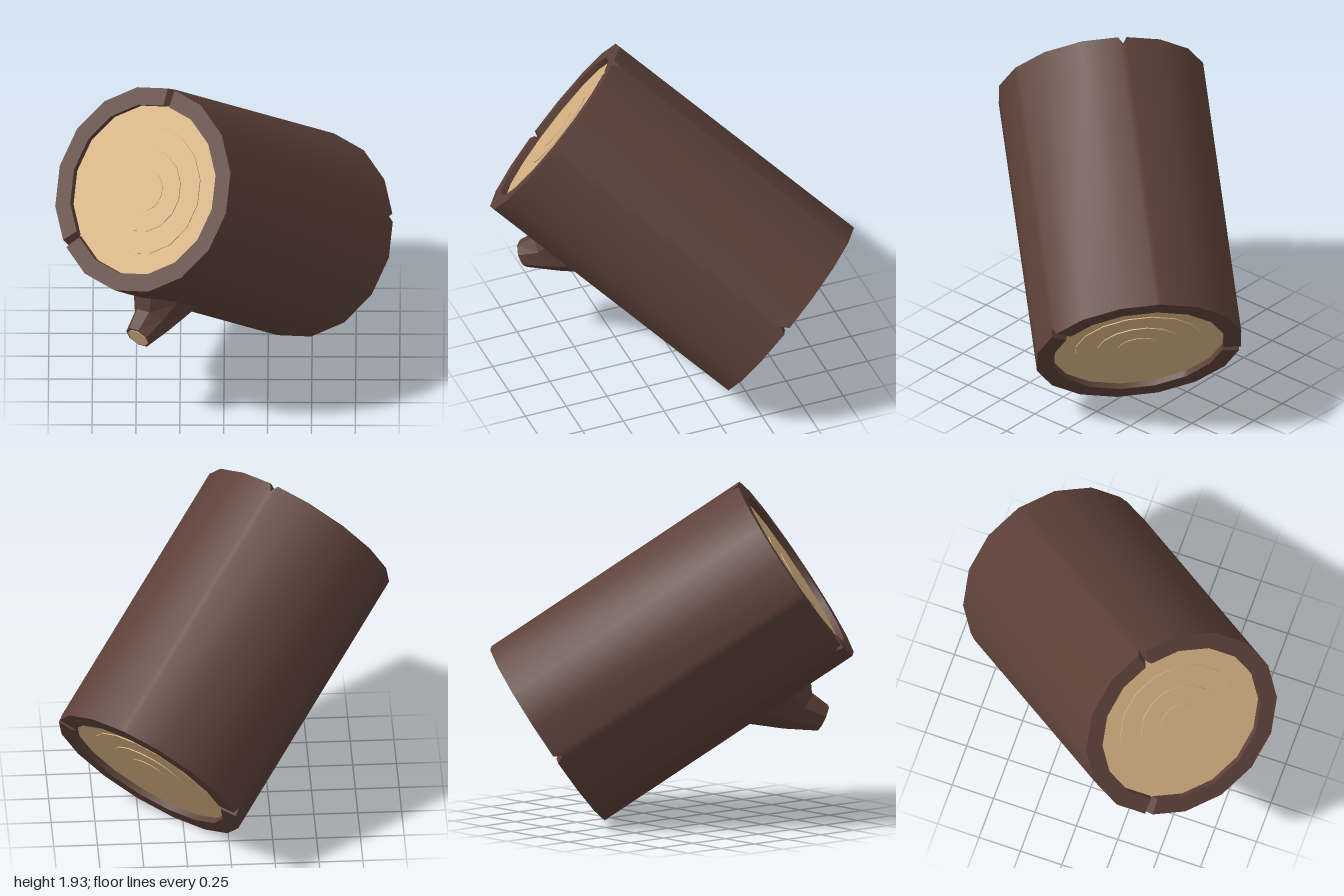
import * as THREE from 'three';
import { toCreasedNormals } from 'three/addons/utils/BufferGeometryUtils.js';

const bark = new THREE.MeshStandardMaterial({ color: 0x5d4139 });
bark.name = 'bark brown';
const wood = new THREE.MeshStandardMaterial({ color: 0xd7b282 });
wood.name = 'cut wood';

const SIDES = 16, STEP = (Math.PI * 2) / SIDES;
const R = 0.597, R_IN = 0.495, HALF = 0.85;

// Skin closed loops of points into a surface
function skin(rows, crease) {
  const pos = [];
  const n = rows[0].length;
  for (let j = 0; j + 1 < rows.length; j++) {
    for (let i = 0; i < n; i++) {
      const k = (i + 1) % n;
      const a = rows[j][i], b = rows[j + 1][i], c = rows[j][k], d = rows[j + 1][k];
      pos.push(...a, ...b, ...c, ...c, ...b, ...d);
    }
  }
  const g = new THREE.BufferGeometry();
  g.setAttribute('position', new THREE.Float32BufferAttribute(pos, 3));
  g.computeVertexNormals();
  return crease ? toCreasedNormals(g, crease) : g;
}

function add(parent, name, geometry, material) {
  const mesh = new THREE.Mesh(geometry, material);
  mesh.name = name;
  parent.add(mesh);
  return mesh;
}

// Hollow bark tube with V-shaped cracks in the rim at both ends
function barkGeometry() {
  const cracks = { '-1': [4, 11], '1': [2, 8] };
  const angles = [];
  for (let k = 0; k < SIDES; k++) {
    const cracked = cracks[-1].includes(k) || cracks[1].includes(k);
    if (cracked) angles.push([k * STEP - 0.042, -1]);
    angles.push([k * STEP, k]);
    if (cracked) angles.push([k * STEP + 0.042, -1]);
  }
  const loop = (r, end, y) => angles.map(([a, k]) => {
    const off = a - Math.floor(a / STEP) * STEP - STEP / 2;
    const rad = k >= 0 ? r : (r * Math.cos(STEP / 2)) / Math.cos(off);
    const dip = y === HALF && cracks[end].includes(k) ? 0.045 : 0;
    return [rad * Math.cos(a), end * (y - dip), rad * Math.sin(a)];
  });
  return skin([
    loop(R_IN, -1, HALF - 0.08), loop(R_IN, -1, HALF), loop(R, -1, HALF),
    loop(R, 1, HALF), loop(R_IN, 1, HALF), loop(R_IN, 1, HALF - 0.08),
  ], 0.6);
}

// Wood core with shallow stepped growth rings on both cut faces
function coreGeometry() {
  const y = HALF - 0.035;
  const half = [[0.5, y], [0.37, y], [0.37, y + 0.006], [0.24, y + 0.006],
    [0.24, y + 0.012], [0.12, y + 0.012], [0.12, y + 0.016], [0, y + 0.016]];
  const profile = [...half.map(([r, h]) => [r, -h]).reverse(), ...half];
  const g = new THREE.LatheGeometry(profile.map(([r, h]) => new THREE.Vector2(r, h)), SIDES);
  return toCreasedNormals(g, 0.6);
}

// Flared branch stub: loops tilt from the log surface to the cut tip
const TIP = { x: 0.82, y: 0.49, tilt: Math.atan(0.6) };
function branchGeometry() {
  const n = 8;
  const loop = (x, y, tilt, a, b) => Array.from({ length: n }, (_, i) => {
    const t = ((i + 0.5) / n) * Math.PI * 2;
    const u = a * Math.cos(t);
    return [x - u * Math.sin(tilt), y + u * Math.cos(tilt), -b * Math.sin(t)];
  });
  return skin([
    loop(0.53, 0.34, 0, 0.27, 0.2),
    loop(0.59, 0.35, 0.05, 0.23, 0.16),
    loop(0.70, 0.395, 0.28, 0.135, 0.11),
    loop(TIP.x, TIP.y, TIP.tilt, 0.08, 0.08),
    loop(TIP.x, TIP.y, TIP.tilt, 0, 0),
  ]);
}

export function createModel() {
  const model = new THREE.Group();
  model.name = 'log';

  // Tilted log frame: y runs along the log, x points at the branch
  const axis = new THREE.Vector3(-0.925, 0.95, 1.07).normalize();
  const out = new THREE.Vector3(-0.27, -0.824, 0.5);
  out.addScaledVector(axis, -out.dot(axis)).normalize();
  const side = new THREE.Vector3().crossVectors(out, axis);
  const body = new THREE.Group();
  body.name = 'tiltedLog';
  body.quaternion.setFromRotationMatrix(new THREE.Matrix4().makeBasis(out, axis, side));
  body.position.y = 0.975;
  model.add(body);

  add(body, 'barkShell', barkGeometry(), bark);
  add(body, 'woodCore', coreGeometry(), wood);
  add(body, 'branchStub', branchGeometry(), bark);

  // Cut face of the branch
  const tip = add(body, 'branchCutFace',
    toCreasedNormals(new THREE.CylinderGeometry(0.066, 0.066, 0.008, 8), 0.6), wood);
  tip.position.set(TIP.x, TIP.y, 0);
  tip.rotation.z = TIP.tilt - Math.PI / 2;
  tip.rotation.order = 'ZYX';
  tip.rotation.y = Math.PI / 8;

  return model;
}
